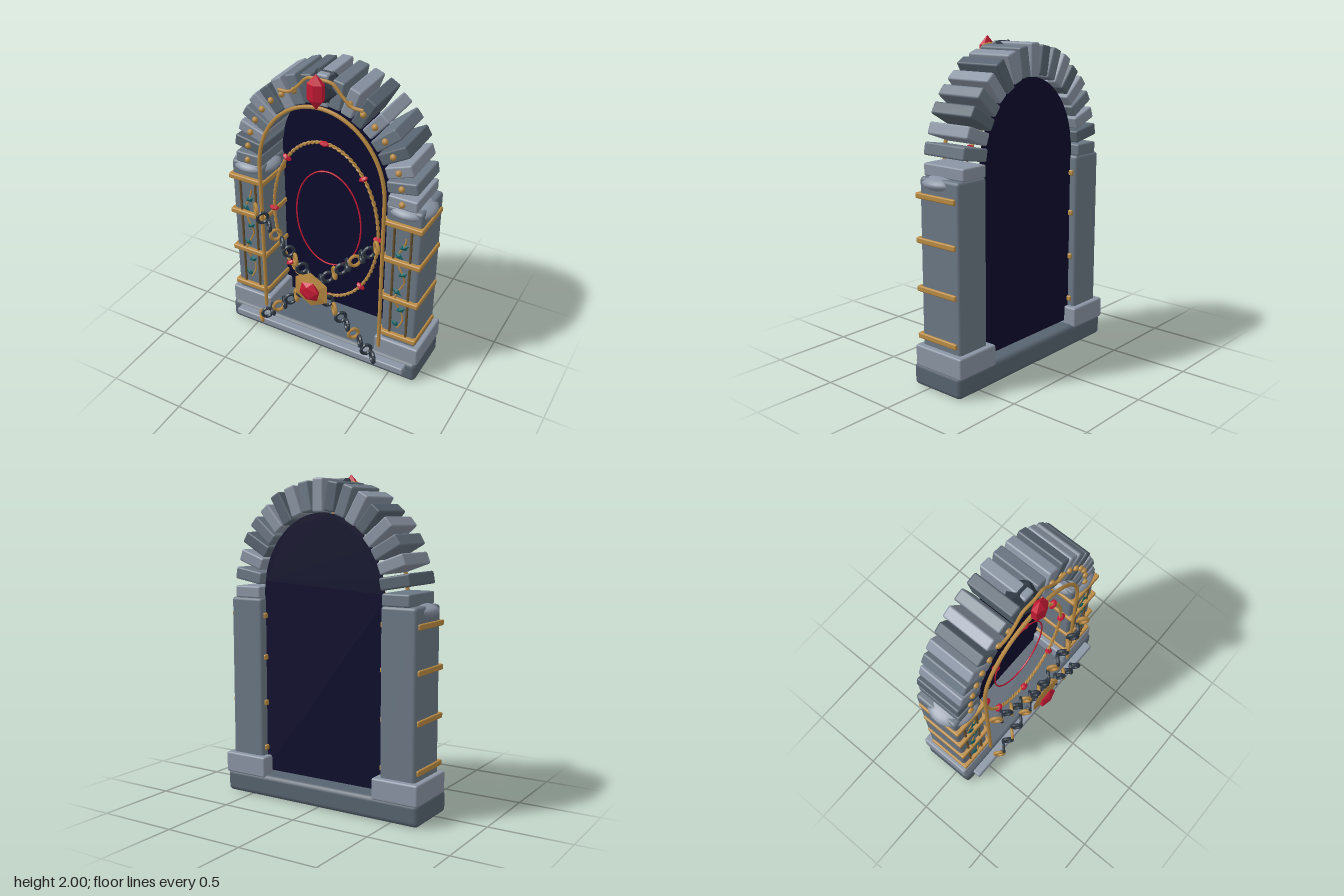
import * as THREE from 'three';
import { RoundedBoxGeometry } from 'three/addons/geometries/RoundedBoxGeometry.js';

const mat = (name, color, extra = {}) => {
  const m = new THREE.MeshStandardMaterial({ color, ...extra });
  m.name = name;
  return m;
};

export function createModel() {
  const root = new THREE.Group();
  root.name = 'stonePortal';
  const light = mat('lightStone', 0x8a94a3);
  const mid = mat('midStone', 0x6b7784);
  const dark = mat('darkStone', 0x57636f);
  const gold = mat('gold', 0xb98a42);
  const bronze = mat('bronze', 0x66512f);
  const iron = mat('iron', 0x2e3843, { flatShading: true });
  const red = mat('rubyRed', 0xc41a34, { flatShading: true });
  const teal = mat('tealLeaf', 0x14686a, { flatShading: true });
  const navy = mat('portalNavy', 0x0c0b2c, { side: THREE.DoubleSide });
  const facetGold = gold.clone();
  facetGold.flatShading = true;

  const add = (name, geo, m, x = 0, y = 0, z = 0, parent = root) => {
    const mesh = new THREE.Mesh(geo, m);
    mesh.name = name;
    mesh.position.set(x, y, z);
    parent.add(mesh);
    return mesh;
  };
  // Rounded block given by its extents
  const block = (name, m, x0, x1, y0, y1, z0, z1, r, parent = root) =>
    add(name, new RoundedBoxGeometry(x1 - x0, y1 - y0, z1 - z0, 2, r), m,
      (x0 + x1) / 2, (y0 + y1) / 2, (z0 + z1) / 2, parent);
  const V = (x, y, z) => new THREE.Vector3(x, y, z);
  const tube = (name, pts, r, m, seg = 80, closed = false, parent = root) =>
    add(name, new THREE.TubeGeometry(new THREE.CatmullRomCurve3(pts, closed), seg, r, 6, closed), m, 0, 0, 0, parent);

  // Base and front step
  block('base', dark, -0.685, 0.685, 0, 0.14, -0.255, 0.115, 0.03);
  block('frontStep', light, -0.62, 0.62, 0.075, 0.125, 0, 0.165, 0.01);

  // Pillars with plinth, capital, bands and vine panel
  for (const s of [-1, 1]) {
    const p = new THREE.Group();
    p.name = s < 0 ? 'rightPillar' : 'leftPillar';
    p.position.x = s * 0.535;
    root.add(p);
    block('plinth', light, -0.15, 0.15, 0.125, 0.255, -0.265, 0.095, 0.012, p);
    block('shaft', mid, -0.115, 0.115, 0.22, 1.25, -0.23, 0.07, 0.02, p);
    add('capital', new THREE.SphereGeometry(1, 28, 16), light, 0, 1.215, -0.047, p).scale.set(0.15, 0.052, 0.148);
    for (const y of [0.305, 0.592, 0.88, 1.14])
      block('band', gold, -0.128, 0.128, y - 0.017, y + 0.017, -0.208, 0.095, 0.008, p);
    for (const x of [-0.055, 0.055])
      add('rod', new THREE.CylinderGeometry(0.008, 0.008, 0.82, 6), bronze, x, 0.72, 0.074, p);
    const vine = [];
    for (let i = 0; i <= 24; i++) {
      const t = i / 24;
      vine.push(V(0.027 * Math.sin(t * Math.PI * 4.6), 0.38 + 0.69 * t, 0.076 + 0.008 * Math.cos(t * 20)));
    }
    tube('vine', vine, 0.006, gold, 60, false, p);
    [0.41, 0.53, 0.66, 0.8, 0.93, 1.0].forEach((y, i) => {
      const side = i % 2 ? 1 : -1;
      const leaf = add('leaf', new THREE.OctahedronGeometry(1), teal, side * 0.016, y, 0.083, p);
      leaf.scale.set(0.036, 0.022, 0.01);
      leaf.rotation.z = side * 0.6;
    });
  }

  // Arch stones with gold studs
  const cy = 1.285, count = 19;
  const tones = [light, mid, light, dark, mid, light, dark];
  for (let i = 0; i < count; i++) {
    const a = Math.PI * i / (count - 1);
    const x = 0.52 * Math.cos(a), y = cy + 0.585 * Math.sin(a);
    const len = 0.185 + 0.012 * Math.sin(i * 2.3);
    const stone = add('archStone', new RoundedBoxGeometry(len, 0.074, 0.308, 2, 0.011), tones[i % tones.length], x, y, -0.081);
    stone.rotation.z = a;
    if (Math.abs(x) > 0.12) {
      const stud = add('stud', new THREE.SphereGeometry(0.02, 8, 6), gold, x, y, 0.078);
      stud.scale.z = 0.9;
    }
  }

  // Portal surface
  const shape = new THREE.Shape();
  shape.moveTo(-0.425, 0.16);
  shape.lineTo(0.425, 0.16);
  shape.lineTo(0.425, cy);
  shape.absellipse(0, cy, 0.425, 0.485, 0, Math.PI, false);
  shape.lineTo(-0.425, 0.16);
  add('portalSurface', new THREE.ShapeGeometry(shape, 32), navy, 0, 0, -0.18);

  // Gold trim around the opening
  const trim = [];
  for (let i = 0; i < 8; i++) trim.push(V(0.42, 0.19 + i * (cy - 0.19) / 8, 0.1));
  for (let i = 0; i <= 24; i++) {
    const a = Math.PI * i / 24;
    trim.push(V(0.42 * Math.cos(a), cy + 0.49 * Math.sin(a), 0.1));
  }
  for (let i = 7; i >= 0; i--) trim.push(V(-0.42, 0.19 + i * (cy - 0.19) / 8, 0.1));
  tube('archTrim', trim, 0.012, gold, 140);

  // Twisted outer ring with rubies, and thin inner ring
  const ringY = 0.967;
  for (const phase of [0, Math.PI]) {
    const strand = [];
    for (let i = 0; i < 320; i++) {
      const a = Math.PI * 2 * i / 320, t = a * 40 + phase, o = 0.006 * Math.cos(t);
      strand.push(V((0.362 + o) * Math.cos(a), ringY + (0.556 + o) * Math.sin(a), 0.04 + 0.006 * Math.sin(t)));
    }
    tube('outerRingStrand', strand, 0.0065, gold, 400, true);
  }
  for (let i = 0; i < 8; i++) {
    const a = Math.PI * i / 4;
    const gem = add('ringRuby', new THREE.OctahedronGeometry(1, 1), red, 0.362 * Math.cos(a), ringY + 0.556 * Math.sin(a), 0.045);
    gem.scale.set(0.032, 0.018, 0.022);
    gem.rotation.z = [0, 0.55, 0, -0.55][i % 4];
  }
  const inner = [];
  for (let i = 0; i < 48; i++) {
    const a = Math.PI * 2 * i / 48;
    inner.push(V(0.225 * Math.cos(a), ringY + 0.34 * Math.sin(a), 0));
  }
  tube('innerRing', inner, 0.005, red, 96, true);

  // Crossed chains
  const linkGeo = new THREE.TorusGeometry(0.033, 0.011, 6, 14);
  const links = 19;
  for (const s of [-1, 1]) {
    const chain = new THREE.Group();
    chain.name = s < 0 ? 'chainFromRight' : 'chainFromLeft';
    root.add(chain);
    for (let i = 0; i < links; i++) {
      const t = i / (links - 1);
      const isGold = i % 3 === 0 && !(s < 0 && i === links - 1);
      const link = add('link', linkGeo, isGold ? gold : iron, s * (0.415 - 0.83 * t), 1.008 - 0.86 * t, 0.172, chain);
      link.scale.y = 1.08;
      link.rotation.y = (i % 2 ? 1 : -1) * Math.PI / 4;
    }
  }

  // Faceted spindle: a lathe with few sides
  const spindle = (pts, sides) => new THREE.LatheGeometry(pts.map(([r, y]) => new THREE.Vector2(r, y)), sides);

  // Medallion where the chains cross
  const plate = add('medallion', spindle([[0, -0.03], [0.13, 0], [0, 0.03]], 6), facetGold, 0, 0.57, 0.22);
  plate.rotation.x = Math.PI / 2;
  const ruby = add('medallionRuby', new THREE.IcosahedronGeometry(1), red, 0, 0.57, 0.242);
  ruby.scale.set(0.077, 0.077, 0.027);
  ruby.rotation.z = 0.2;

  // Keystone, crown ruby and scroll
  add('keystone', new THREE.IcosahedronGeometry(1), iron, 0, 1.875, 0.02).scale.set(0.115, 0.115, 0.1);
  const crown = add('crownRuby', spindle([[0, -0.107], [0.055, -0.045], [0.055, 0.05], [0, 0.107]], 6), red, 0, 1.893, 0.14);
  crown.scale.z = 0.65;
  const half = [[0.27, 1.825], [0.2, 1.83], [0.14, 1.88], [0.08, 1.94]];
  const scroll = [...half.map(([x, y]) => V(-x, y, 0.095)), V(0, 1.95, 0.1),
    ...half.slice().reverse().map(([x, y]) => V(x, y, 0.095))];
  tube('crownScroll', scroll, 0.01, gold, 60);

  return root;
}
